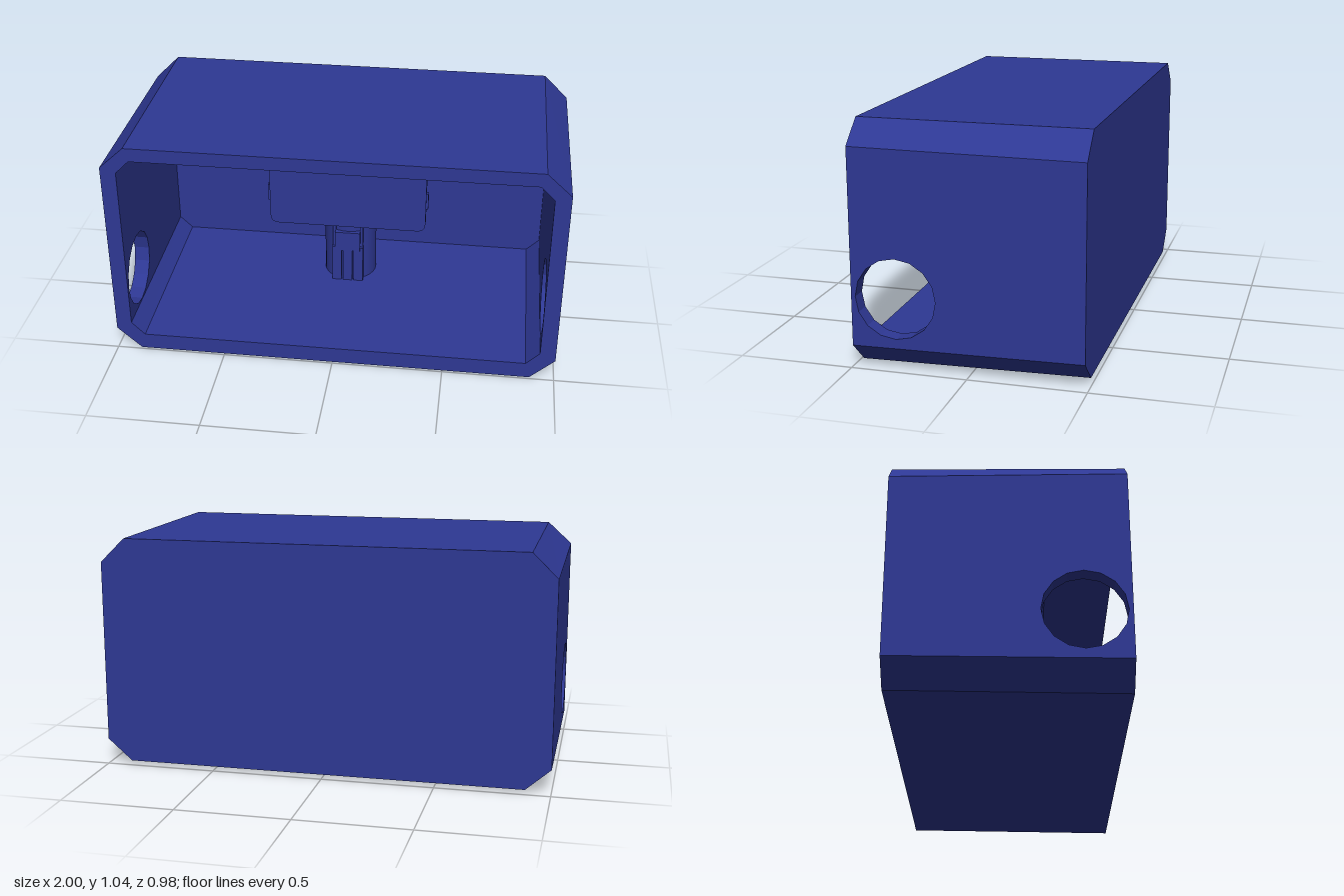
import * as THREE from 'three';

const BLUE = 0x2e3894;
const FRONT = 0.49, BACK = -0.49, BACK_INNER = -0.45;

export function createModel() {
  const model = new THREE.Group();
  const flat = new THREE.MeshStandardMaterial({ color: BLUE, flatShading: true });
  const smooth = new THREE.MeshStandardMaterial({ color: BLUE });

  const add = (name, geometry, material = flat, x = 0, y = 0, z = 0) => {
    const mesh = new THREE.Mesh(geometry, material);
    mesh.name = name;
    mesh.position.set(x, y, z);
    model.add(mesh);
    return mesh;
  };
  const box = (name, w, h, d, x, y, z) => add(name, new THREE.BoxGeometry(w, h, d), flat, x, y, z);
  const extrude = (shape, depth, curveSegments = 8) =>
    new THREE.ExtrudeGeometry(shape, { depth, bevelEnabled: false, curveSegments });
  const polygon = (points) => new THREE.Shape(points.map(([x, y]) => new THREE.Vector2(x, y)));

  // Octagonal section, anticlockwise from the lower right
  const octagon = (w, bottom, top, cx, cy) => [
    [w - cx, bottom], [w, bottom + cy], [w, top - cy], [w - cx, top],
    [-w + cx, top], [-w, top - cy], [-w, bottom + cy], [-w + cx, bottom],
  ];
  const outer = octagon(1, 0, 1.037, 0.11, 0.1);
  const inner = octagon(0.93, 0.075, 0.975, 0.06, 0.06);

  // The housing narrows very slightly towards the back
  const taper = (geometry) => {
    const p = geometry.attributes.position;
    for (let i = 0; i < p.count; i++) {
      const y = p.getY(i), t = (FRONT - p.getZ(i)) / (FRONT - BACK);
      if (y < 0.52) p.setY(i, y + t * 0.018 * (1 - y / 0.52));
      else if (Math.abs(y - 0.937) < 0.004) p.setY(i, y - t * 0.008);
    }
    geometry.computeVertexNormals();
    return geometry;
  };

  // Roof, floor and corner panels; sides 1 and 5 are the pierced walls
  const names = { 0: 'lowerLeftCorner', 2: 'upperLeftCorner', 3: 'roof', 4: 'upperRightCorner', 6: 'lowerRightCorner', 7: 'floor' };
  for (const [key, name] of Object.entries(names)) {
    const i = Number(key), j = (i + 1) % 8;
    const panel = extrude(polygon([outer[i], outer[j], inner[j], inner[i]]), FRONT - BACK_INNER);
    add(name, taper(panel.translate(0, 0, BACK_INNER)));
  }

  // Side walls with a sixteen-sided round opening
  for (const [name, x] of [['leftWall', 0.93], ['rightWall', -1]]) {
    const shape = polygon([[-FRONT, 0.1], [-BACK_INNER, 0.1], [-BACK_INNER, 0.937], [-FRONT, 0.937]]);
    const hole = new THREE.Path();
    hole.absarc(-0.3, 0.313, 0.172, 0, Math.PI * 2, true);
    shape.holes.push(hole);
    add(name, taper(extrude(shape, 0.07).rotateY(Math.PI / 2).translate(x, 0, 0)));
  }

  // Closed back
  add('backWall', taper(extrude(polygon(outer), BACK_INNER - BACK).translate(0, 0, BACK)));

  // Stepped ceiling plates with sloping edges
  const plate = (name, w, d, h, narrow, y, z) => add(name,
    new THREE.CylinderGeometry(Math.SQRT2, Math.SQRT2 * narrow, h, 4)
      .rotateY(Math.PI / 4).scale(w, 1, d), flat, 0, y, z);
  plate('ceilingPlate', 0.58, 0.27, 0.045, 0.96, 0.953, -0.1);
  plate('ceilingStep', 0.27, 0.22, 0.055, 0.83, 0.907, -0.1);

  // Round hub under the ceiling and its short neck
  const drum = (name, r, bottom, top, z, sides = 32) => add(name,
    new THREE.CylinderGeometry(r, r, top - bottom, sides), smooth, 0, (bottom + top) / 2, z);
  drum('hub', 0.2, 0.755, 0.87, -0.15);
  drum('hubStem', 0.06, 0.87, 0.885, -0.15, 16);
  drum('neck', 0.05, 0.72, 0.76, -0.15, 16);

  // Thin upright panel with rounded corners
  const roundedRect = (w, bottom, top, r) => {
    const s = new THREE.Shape();
    s.moveTo(-w + r, bottom);
    s.lineTo(w - r, bottom);
    s.quadraticCurveTo(w, bottom, w, bottom + r);
    s.lineTo(w, top - r);
    s.quadraticCurveTo(w, top, w - r, top);
    s.lineTo(-w + r, top);
    s.quadraticCurveTo(-w, top, -w, top - r);
    s.lineTo(-w, bottom + r);
    s.quadraticCurveTo(-w, bottom, -w + r, bottom);
    return s;
  };
  add('panel', extrude(roundedRect(0.372, 0.39, 0.71, 0.04), 0.04, 4), flat, 0, 0, -0.1);
  for (const side of [-1, 1]) box('sideTab', 0.02, 0.08, 0.025, side * 0.372, 0.55, -0.08);
  add('panelBracket', extrude(polygon([[-0.12, 0.7], [0.12, 0.7], [0.09, 0.735], [-0.09, 0.735]]), 0.1),
    flat, 0, 0, -0.19);

  // Round pedestal with a slotted clip on its front
  drum('pedestal', 0.125, 0.07, 0.385, -0.2);
  box('clipTop', 0.12, 0.1, 0.06, 0, 0.305, -0.09);
  for (const side of [-1, 1]) {
    box('clipFinger', 0.045, 0.2, 0.05, side * 0.052, 0.17, -0.09);
    box('clipShoulder', 0.015, 0.12, 0.04, side * 0.065, 0.325, -0.1);
  }
  box('clipTongue', 0.045, 0.2, 0.05, 0, 0.17, -0.09);

  return model;
}
